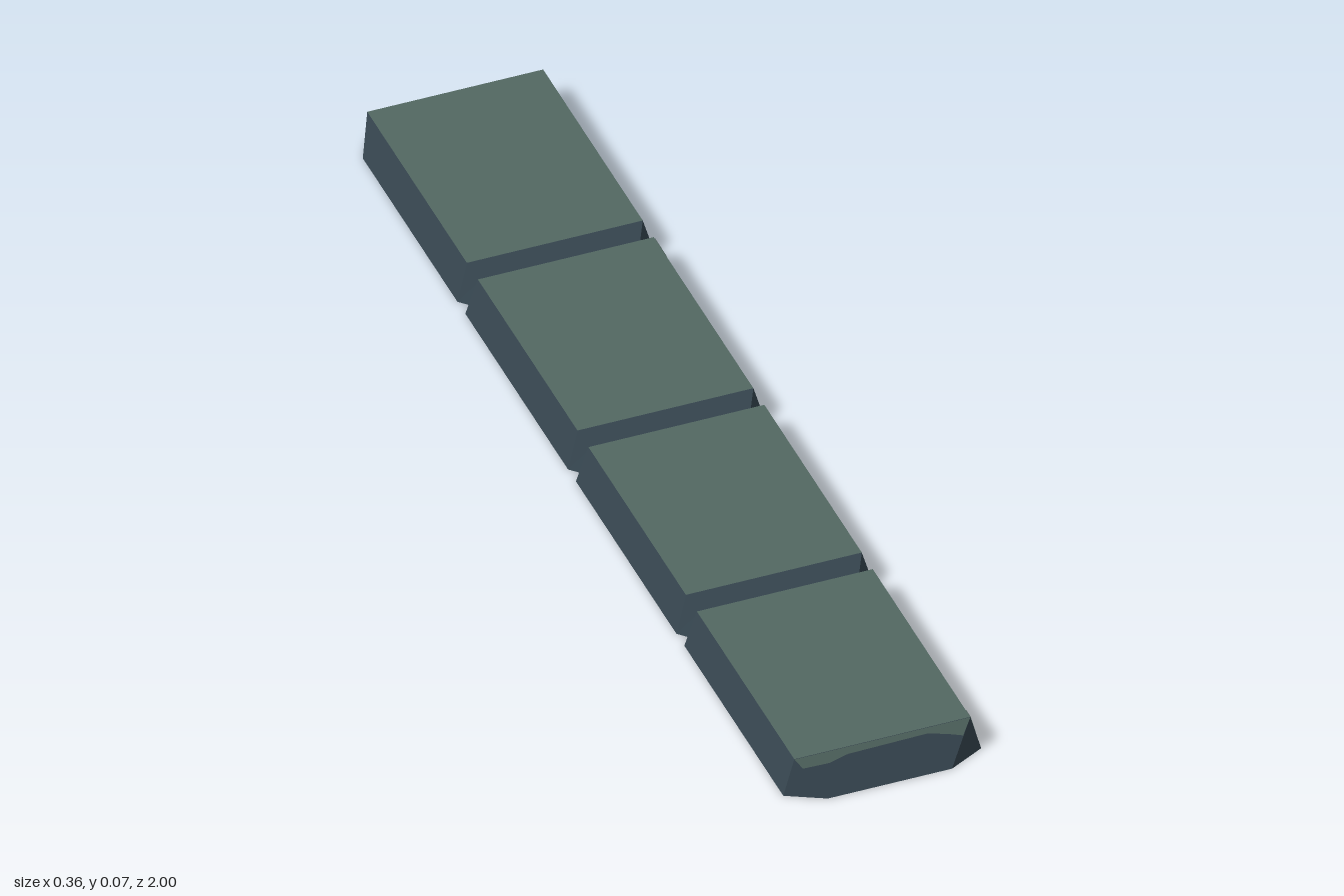
import * as THREE from 'three';

const TOP = 0.072;

// One cross-section: bottom half-width b at zb, top half-width t at zt, height h
const ring = (zb, b, zt, t, h = TOP) => [
  [-b, 0, zb], [-t, h, zt], [t, h, zt], [b, 0, zb],
];

// Flat-shaded mesh from convex polygons, corners counter-clockwise
function polyMesh(name, polygons, material) {
  const pos = [];
  const v = (p) => new THREE.Vector3(...p);
  for (const poly of polygons) {
    for (let i = 1; i < poly.length - 1; i++) {
      const tri = new THREE.Triangle(v(poly[0]), v(poly[i]), v(poly[i + 1]));
      if (tri.getArea() < 1e-8) continue;
      pos.push(...poly[0], ...poly[i], ...poly[i + 1]);
    }
  }
  const geo = new THREE.BufferGeometry();
  geo.setAttribute('position', new THREE.Float32BufferAttribute(pos, 3));
  geo.computeVertexNormals();
  const mesh = new THREE.Mesh(geo, material);
  mesh.name = name;
  return mesh;
}

export function createModel() {
  const group = new THREE.Group();
  group.name = 'slabRow';
  const green = new THREE.MeshStandardMaterial({ name: 'mossGreen', color: 0x536862, side: THREE.DoubleSide });
  const slate = new THREE.MeshStandardMaterial({ name: 'darkSlate', color: 0x374751, side: THREE.DoubleSide });

  // Cross-sections from back to front, pinched at each seam
  const rings = [ring(-1, 0.153, -0.985, 0.16), ring(-0.955, 0.18, -0.985, 0.16)];
  for (const s of [-0.505, 0, 0.495]) {
    rings.push(
      ring(s - 0.018, 0.18, s - 0.025, 0.16),
      ring(s, 0.163, s, 0.145, 0.047),
      ring(s + 0.018, 0.18, s + 0.025, 0.16),
    );
  }
  rings.push(ring(0.965, 0.18, 0.965, 0.16), ring(1, 0.113, 0.965, 0.16));

  // Open-bottomed shell: slate walls and grooves, green tops
  const tops = [], grooves = [], walls = [];
  for (let i = 0; i < rings.length - 1; i++) {
    const a = rings[i], b = rings[i + 1];
    const quad = (k) => [a[k], b[k], b[k + 1], a[k + 1]];
    walls.push(quad(0), quad(2));
    const flat = a[1][1] === TOP && b[1][1] === TOP;
    (flat ? tops : grooves).push(quad(1));
  }
  const first = rings[0], last = rings[rings.length - 1];
  group.add(
    polyMesh('slabTops', tops, green),
    polyMesh('seamGrooves', grooves, slate),
    polyMesh('sideWalls', walls, slate),
    polyMesh('backWall', [first], slate),
    polyMesh('frontWall', [[...last].reverse()], slate),
  );

  // Uneven green edge along the top of the front wall
  const onFront = (x, y) => [x, y, 0.966 + 0.035 * (1 - y / TOP)];
  const lip = [[-0.16, 0.072, 0.053], [-0.148, 0.055, 0.053], [-0.1, 0.054, 0.054],
    [-0.065, 0.061, 0.061], [0.08, 0.063, 0.063], [0.115, 0.055, 0.055], [0.142, 0.047, 0.047]];
  const strips = [];
  for (let i = 0; i < lip.length - 1; i++) {
    const [x0, y0] = lip[i], [x1, y1] = lip[i + 1];
    strips.push([onFront(x0, y0), onFront(x1, y1), onFront(x1, TOP), onFront(x0, TOP)]);
  }
  strips.push([onFront(0.142, 0.047), onFront(0.16, TOP), onFront(0.142, TOP)]);
  group.add(polyMesh('frontEdgeGreen', strips, green));

  // Green patches on the left wall, by the front corner and the rear seam
  const onLeft = (z, y) => [0.181 - 0.02 * (y / TOP), y, z];
  group.add(polyMesh('sidePatches', [
    [onLeft(0.962, 0.036), onLeft(0.945, 0.04), onLeft(0.94, 0.071), onLeft(0.964, 0.071)],
    [onLeft(-0.42, 0.071), onLeft(-0.478, 0.046), onLeft(-0.479, 0.071)],
  ], green));

  return group;
}
